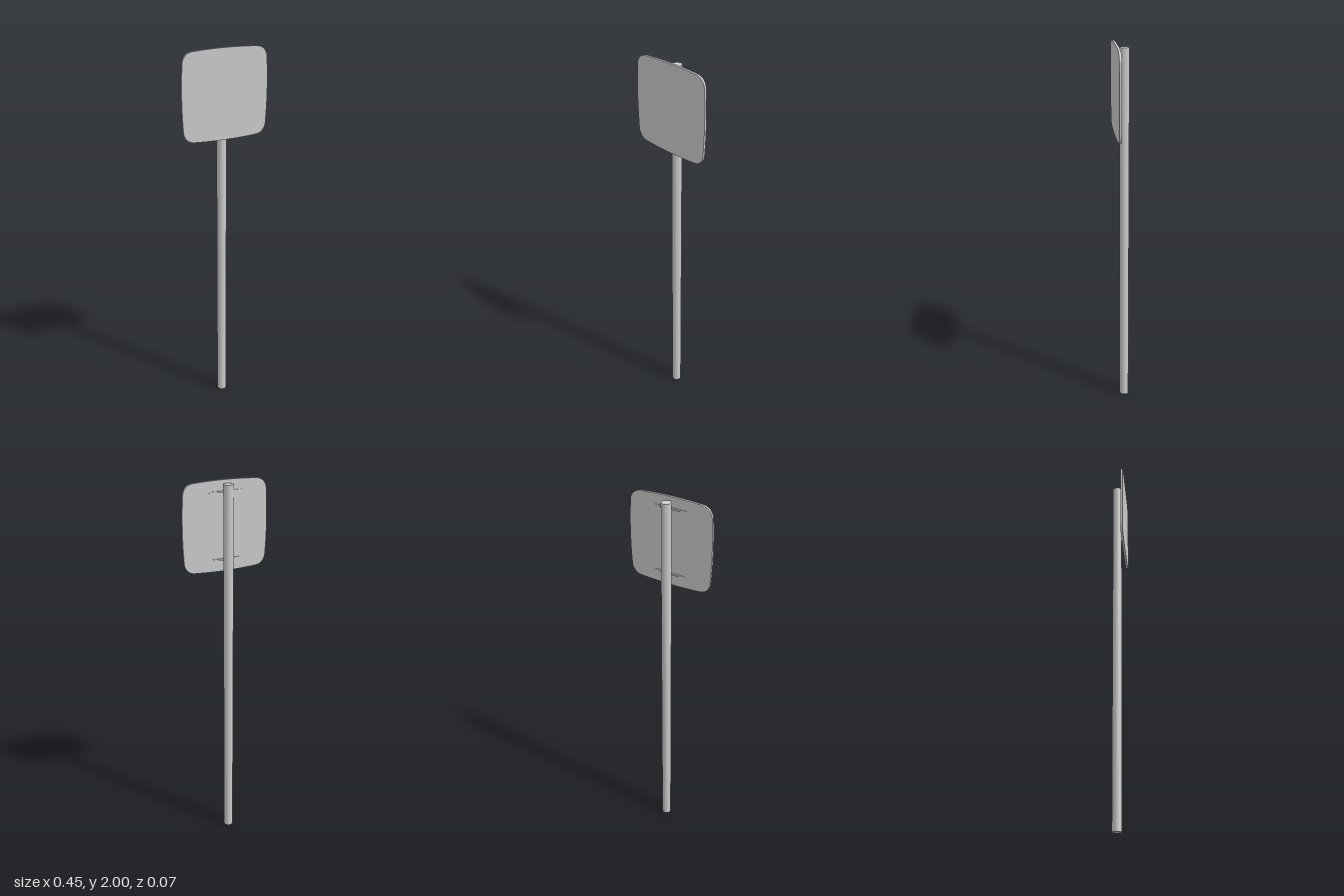
import * as THREE from 'three';
import { toCreasedNormals } from 'three/addons/utils/BufferGeometryUtils.js';

const material = new THREE.MeshStandardMaterial({ color: 0xcccccc });

function addPart(group, name, geometry, x, y, z) {
  const mesh = new THREE.Mesh(geometry, material);
  mesh.name = name;
  mesh.position.set(x, y, z);
  group.add(mesh);
  return mesh;
}

// Square outline with slightly bowed sides and rounded corners
function panelShape(half, bow, corner) {
  const s = new THREE.Shape();
  const e = half - bow; // side position where the corner begins
  const c = half - corner;
  s.moveTo(-c, -e);
  s.quadraticCurveTo(0, -half - bow, c, -e);
  s.bezierCurveTo(c + corner * 0.5, -e + bow * 0.3, e - bow * 0.3, -c - corner * 0.5, e, -c);
  s.quadraticCurveTo(half + bow, 0, e, c);
  s.bezierCurveTo(e - bow * 0.3, c + corner * 0.5, c + corner * 0.5, e - bow * 0.3, c, e);
  s.quadraticCurveTo(0, half + bow, -c, e);
  s.bezierCurveTo(-c - corner * 0.5, e - bow * 0.3, -e + bow * 0.3, c + corner * 0.5, -e, c);
  s.quadraticCurveTo(-half - bow, 0, -e, -c);
  s.bezierCurveTo(-e + bow * 0.3, -c - corner * 0.5, -c - corner * 0.5, -e + bow * 0.3, -c, -e);
  return s;
}

// Shallow bowed strap, flat against the panel and bulging towards the post
function bracketGeometry(halfWidth, depth, height) {
  const s = new THREE.Shape();
  s.moveTo(-halfWidth, 0);
  s.lineTo(halfWidth, 0);
  s.lineTo(halfWidth, 0.002);
  s.quadraticCurveTo(0, 2 * depth - 0.002, -halfWidth, 0.002);
  s.closePath();
  const g = new THREE.ExtrudeGeometry(s, { depth: height, bevelEnabled: false, curveSegments: 16 });
  g.translate(0, 0, -height / 2);
  g.rotateX(-Math.PI / 2); // shape's up becomes -z
  return toCreasedNormals(g, 0.6);
}

export function createModel() {
  const model = new THREE.Group();
  model.name = 'signpost';

  // Round post
  const postHeight = 1.985;
  addPart(model, 'post', new THREE.CylinderGeometry(0.025, 0.025, postHeight, 32), 0, postHeight / 2, -0.012);

  // Sign panel
  const panel = new THREE.ExtrudeGeometry(panelShape(0.226, 0.006, 0.06), {
    depth: 0.012, bevelEnabled: false, curveSegments: 12,
  });
  addPart(model, 'signPanel', toCreasedNormals(panel, 0.6), 0, 1.775, 0.023);

  // Mounting straps behind the panel
  const strap = bracketGeometry(0.085, 0.008, 0.008);
  for (const [name, y] of [['upperBracket', 1.945], ['lowerBracket', 1.61]]) {
    addPart(model, name, strap, 0, y, 0.0235);
  }
  return model;
}
